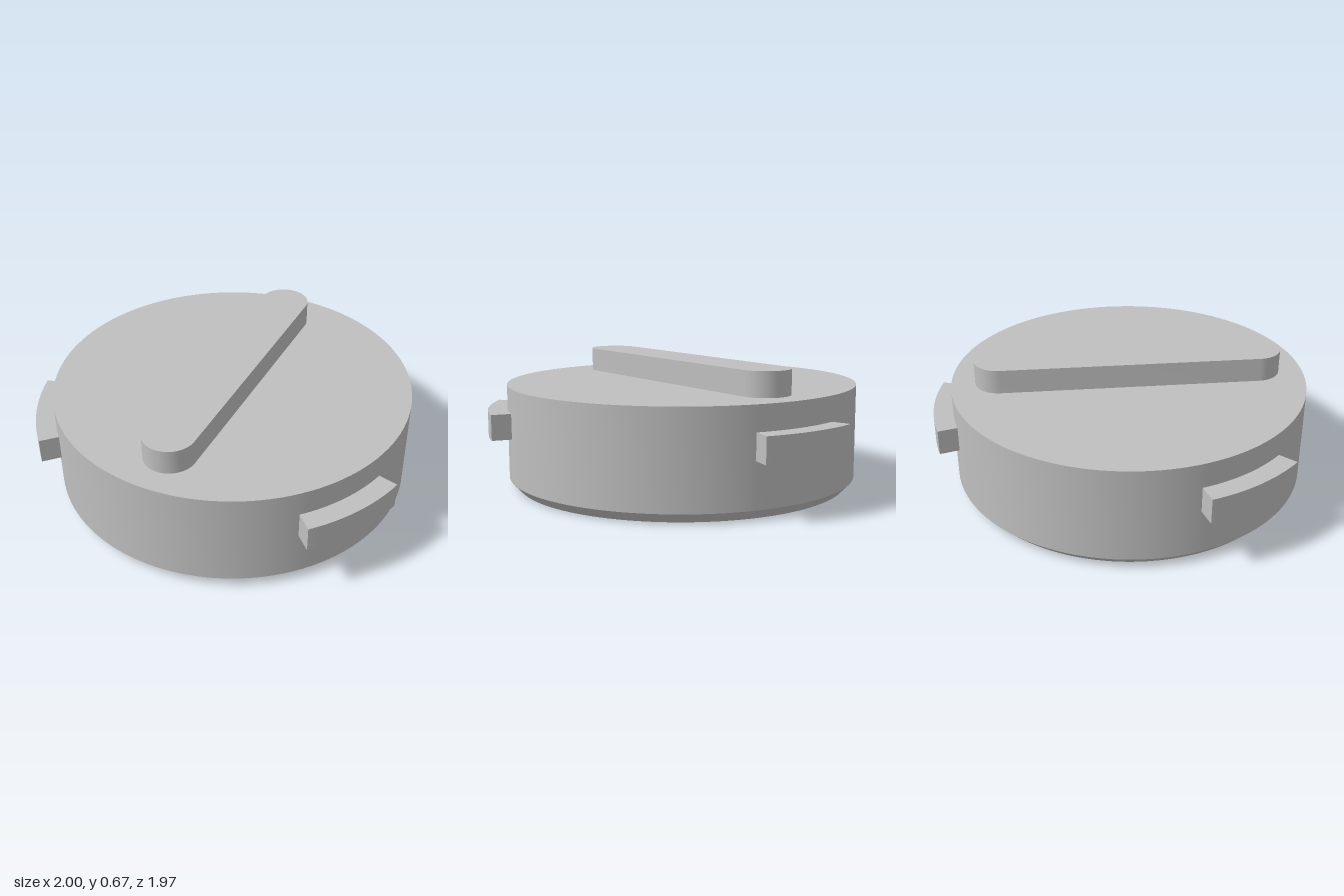
import * as THREE from 'three';
import { toCreasedNormals } from 'three/addons/utils/BufferGeometryUtils.js';

export function createModel() {
  const model = new THREE.Group();
  model.name = 'bayonetCap';
  const grey = new THREE.MeshStandardMaterial({ color: 0xbfbfbf });
  grey.name = 'plain grey';

  const centreZ = 0.048;
  const add = (name, geometry) => {
    const mesh = new THREE.Mesh(toCreasedNormals(geometry, 0.5), grey);
    mesh.name = name;
    mesh.position.z = centreZ;
    model.add(mesh);
  };

  // Extrudes a plan shape (shape y points to the back) upward from y = bottom
  const slab = (shape, bottom, height) => {
    const g = new THREE.ExtrudeGeometry(shape, { depth: height, bevelEnabled: false, curveSegments: 32 });
    g.rotateX(-Math.PI / 2);
    g.translate(0, bottom, 0);
    return g;
  };

  // Cap body: recessed underside, narrow rim, bottom chamfer, flat top
  const profile = [
    [0, 0.186], [0.852, 0.186], [0.852, 0], [0.885, 0],
    [0.932, 0.05], [0.932, 0.545], [0, 0.545],
  ].map(([r, y]) => new THREE.Vector2(r, y));
  add('capBody', new THREE.LatheGeometry(profile, 128));

  // Grip bar with rounded ends
  const r = 0.132, straight = 0.808 - r;
  const bar = new THREE.Shape();
  bar.absarc(0, straight, r, 0, Math.PI, false);
  bar.absarc(0, -straight, r, Math.PI, 2 * Math.PI, false);
  bar.closePath();
  add('gripBar', slab(bar, 0.54, 0.133));

  // Three locking lugs, each a 30 degree ring sector
  const half = Math.PI / 12;
  ['backLug', 'rightLug', 'leftLug'].forEach((name, i) => {
    const mid = Math.PI / 2 + i * 2 * Math.PI / 3;
    const lug = new THREE.Shape();
    lug.absarc(0, 0, 1.034, mid - half, mid + half, false);
    lug.absarc(0, 0, 0.9, mid + half, mid - half, true);
    lug.closePath();
    add(name, slab(lug, 0.283, 0.133));
  });

  return model;
}
